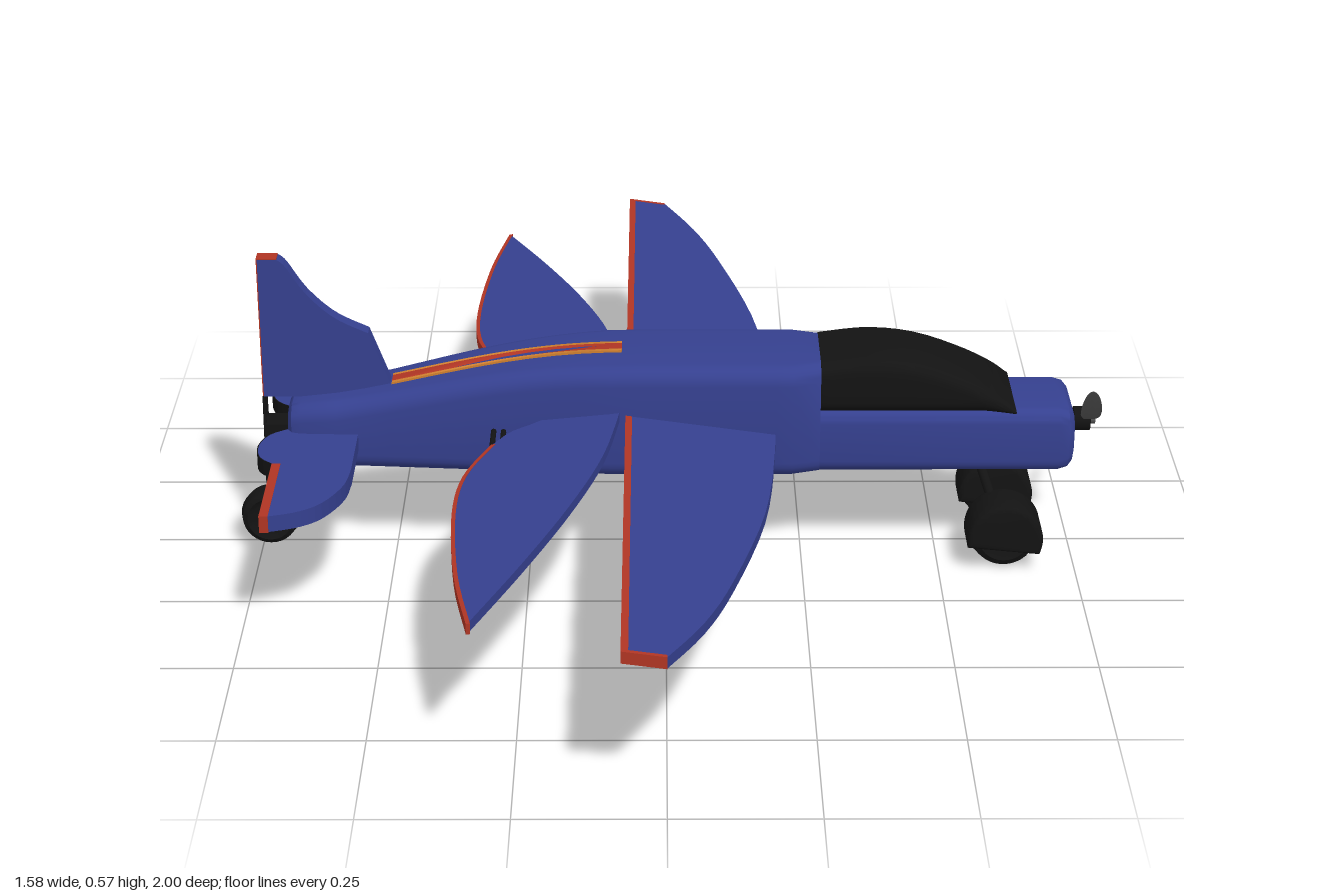
import * as THREE from 'three';
import { toCreasedNormals } from 'three/addons/utils/BufferGeometryUtils.js';

const mat = (color) => new THREE.MeshStandardMaterial({ color });
const blue = mat(0x35408f), red = mat(0xb03524), orange = mat(0xd08030);
const black = mat(0x131313), grey = mat(0x555555);

function add(parent, name, geometry, material) {
  const mesh = new THREE.Mesh(geometry, material);
  mesh.name = name;
  parent.add(mesh);
  return mesh;
}

// Skin over rounded-rectangle sections [x, halfWidth, bottom, top, cornerRadius], x increasing
function loft(sections) {
  const pos = [], index = [], k = 6, n = k * 4;
  for (const [x, w, y0, y1, r] of sections) {
    for (let c = 0; c < 4; c++) {
      const cz = (c === 0 || c === 3 ? 1 : -1) * (w - r);
      const cy = c < 2 ? y1 - r : y0 + r;
      for (let i = 0; i < k; i++) {
        const a = (c + i / (k - 1)) * Math.PI / 2;
        pos.push(x, cy + r * Math.sin(a), cz + r * Math.cos(a));
      }
    }
  }
  const last = (sections.length - 1) * n;
  for (let s = 0; s < last; s += n) {
    for (let i = 0; i < n; i++) {
      const j = (i + 1) % n;
      index.push(s + i, s + n + i, s + j, s + j, s + n + i, s + n + j);
    }
  }
  for (let i = 1; i < n - 1; i++) {
    index.push(0, i, i + 1, last, last + i + 1, last + i);
  }
  const g = new THREE.BufferGeometry();
  g.setAttribute('position', new THREE.Float32BufferAttribute(pos, 3));
  g.setIndex(index);
  return toCreasedNormals(g, 0.6);
}

const curve = (pts, n = 20) =>
  new THREE.SplineCurve(pts.map((p) => new THREE.Vector2(...p))).getPoints(n).map((p) => [p.x, p.y]);

// Horizontal plate from an [x, z] outline; height(x) tilts it, side mirrors it
function plate(outline, thick, height, side) {
  const shape = new THREE.Shape(outline.map(([x, z]) => new THREE.Vector2(x, -z * side)));
  const g = new THREE.ExtrudeGeometry(shape, { depth: thick, bevelEnabled: false });
  g.rotateX(-Math.PI / 2).translate(0, -thick / 2, 0);
  const p = g.attributes.position;
  for (let i = 0; i < p.count; i++) p.setY(i, p.getY(i) + height(p.getX(i)));
  g.computeVertexNormals();
  return g;
}

// Narrow band outline along an edge polyline
const band = (pts, dx, dz = 0) => [...pts, ...pts.map(([x, z]) => [x + dx, z + dz]).reverse()];

// Vertical plate from an [x, y] outline, centred on z = 0
function upright(outline, thick) {
  const shape = new THREE.Shape(outline.map((p) => new THREE.Vector2(...p)));
  return new THREE.ExtrudeGeometry(shape, { depth: thick, bevelEnabled: false }).translate(0, 0, -thick / 2);
}

function rod(parent, name, a, b, r, material = black) {
  const path = new THREE.LineCurve3(new THREE.Vector3(...a), new THREE.Vector3(...b));
  const mesh = add(parent, name, new THREE.CylinderGeometry(r, r, path.getLength(), 10), material);
  mesh.position.copy(path.getPoint(0.5));
  mesh.quaternion.setFromUnitVectors(new THREE.Vector3(0, 1, 0), path.getTangent(0));
  return mesh;
}

// Tyre with a small grey hub
function wheel(parent, name, x, z, r, width) {
  const h = width / 2;
  const profile = [[0, -h * 0.8], [r * 0.6, -h * 0.8], [r * 0.75, -h], [r * 0.92, -h * 0.75], [r, 0],
    [r * 0.92, h * 0.75], [r * 0.75, h], [r * 0.6, h * 0.8], [0, h * 0.8]];
  const g = new THREE.LatheGeometry(profile.map((p) => new THREE.Vector2(...p)), 32);
  add(parent, name, toCreasedNormals(g.rotateX(Math.PI / 2), 0.7), black).position.set(x, r, z);
  add(parent, name + 'Hub', new THREE.CylinderGeometry(r * 0.2, r * 0.2, width * 1.05, 16).rotateX(Math.PI / 2), grey)
    .position.set(x, r, z);
}

export function createModel() {
  const model = new THREE.Group();
  model.name = 'airplane';

  // Fuselage: rear hull with humped back, then the narrower nose
  const spine = (x) => 0.3 + 0.09 * THREE.MathUtils.smootherstep(x, -0.68, -0.02) ** 0.6;
  const hull = [[-0.69, 0.05, 0.195, 0.28, 0.03], [-0.682, 0.064, 0.182, 0.293, 0.03], [-0.665, 0.07, 0.175, 0.3, 0.03]];
  for (let i = 0; i <= 16; i++) {
    const x = -0.6 + i * 0.05;
    hull.push([x, 0.073 + 0.037 * THREE.MathUtils.clamp((x + 0.55) / 0.45, 0, 1), 0.175, Math.max(0.3, spine(x)), 0.032]);
  }
  hull.push([0.23, 0.11, 0.175, 0.39, 0.032], [0.28, 0.092, 0.175, 0.39, 0.03]);
  add(model, 'fuselage', loft(hull), blue);
  add(model, 'nose', loft([[0.24, 0.09, 0.177, 0.3, 0.025], [0.715, 0.09, 0.177, 0.3, 0.025],
    [0.733, 0.086, 0.181, 0.296, 0.025], [0.742, 0.078, 0.19, 0.287, 0.025], [0.745, 0.068, 0.2, 0.277, 0.025]]), blue);

  // Canopy
  const top = curve([[0.28, 0.39], [0.37, 0.4], [0.46, 0.39], [0.55, 0.358], [0.6, 0.33], [0.635, 0.3]], 18);
  add(model, 'canopy', loft(top.map(([x, y]) => [x, 0.091, 0.296, Math.max(y, 0.301), Math.min(0.024, Math.max(0.002, (y - 0.296) / 2.1))])), black);

  // Stripe along the back
  const stripeX = Array.from({ length: 15 }, (_, i) => -0.5 + i * 0.03);
  const stripe = (z0, z1) => band(stripeX.map((x) => [x, z0]), 0, z1 - z0);
  const back = (x) => Math.max(0.3, spine(x));
  add(model, 'backStripe', plate(stripe(-0.013, 0.013), 0.008, back, 1), red);
  for (const s of [1, -1]) add(model, 'backStripeEdge', plate(stripe(0.013, 0.021), 0.008, back, s), orange);

  // Wings and tailplane, one side at a time
  const wingY = (x) => 0.294 - 0.14 * (x + 0.08);
  const rearY = (x) => 0.3 + 0.133 * (x + 0.08);
  const tailY = () => 0.235;
  const wing = [[-0.07, 0], ...curve([[0.2, 0], [0.195, 0.18], [0.17, 0.44], [0.11, 0.71], [0.06, 0.87], [0, 1]]), [-0.07, 1]];
  const rearTrail = curve([[-0.32, 0.86], [-0.35, 0.68], [-0.366, 0.45], [-0.355, 0.3], [-0.31, 0.18]]);
  const rearLead = curve([[-0.08, 0.08], [-0.11, 0.28], [-0.165, 0.47], [-0.24, 0.67], [-0.32, 0.86]]);
  const rearRoot = curve([[-0.31, 0.18], [-0.28, 0.135], [-0.24, 0.11], [-0.2, 0.08]], 8);
  const tailBulge = curve([[-0.7, 0.2], [-0.728, 0.17], [-0.735, 0.12], [-0.72, 0.075], [-0.69, 0.05]], 12);
  const tailLead = curve([[-0.56, 0.22], [-0.568, 0.29], [-0.6, 0.36], [-0.64, 0.395], [-0.69, 0.413]], 14);
  for (const s of [1, -1]) {
    const side = new THREE.Group();
    side.name = s > 0 ? 'leftSurfaces' : 'rightSurfaces';
    model.add(side);
    add(side, 'mainWing', plate(wing, 0.02, wingY, s), blue);
    add(side, 'mainWingTrailingEdge', plate(band([[-0.073, 0], [-0.073, 1]], 0.012), 0.0212, wingY, s), red);
    add(side, 'mainWingTip', plate(band([[-0.073, 1.001], [0, 1.001]], 0, -0.008), 0.0212, wingY, s), red);
    add(side, 'rearWing', plate([...rearLead, ...rearTrail.slice(1), ...rearRoot.slice(1)], 0.018, rearY, s), blue);
    add(side, 'rearWingTrailingEdge', plate(band(rearTrail.map(([x, z]) => [x - 0.002, z]), 0.007), 0.0192, rearY, s), red);
    for (const x of [-0.312, -0.294]) rod(side, 'rearWingStrut', [x, 0.265, 0.06 * s], [x, 0.265, 0.2 * s], 0.005);
    add(side, 'tailplane', plate([[-0.56, 0], ...tailLead, [-0.7, 0.413], ...tailBulge, [-0.69, 0]], 0.03, tailY, s), blue);
    add(side, 'tailplaneTrailingEdge', plate(band([[-0.704, 0.2], [-0.704, 0.414]], 0.016), 0.0312, tailY, s), red);
    add(side, 'tailplaneRootEdge', plate(band(tailBulge.map(([x, z]) => [x - 0.002, z]), 0.005), 0.029, tailY, s), black);
  }

  // Fin
  const finFront = curve([[-0.7, 0.568], [-0.685, 0.555], [-0.65, 0.502], [-0.6, 0.455], [-0.54, 0.425]], 14);
  add(model, 'fin', upright([[-0.735, 0.3], [-0.5, 0.3], [-0.5, 0.318], ...finFront.reverse(), [-0.735, 0.568]], 0.03), blue);
  add(model, 'finTrailingEdge', upright([[-0.737, 0.3], [-0.733, 0.3], [-0.733, 0.568], [-0.737, 0.568]], 0.029), red);
  add(model, 'finTop', upright([[-0.737, 0.565], [-0.7, 0.565], [-0.7, 0.57], [-0.737, 0.57]], 0.029), red);

  // Tail wheel on two wires
  wheel(model, 'tailWheel', -0.735, 0, 0.055, 0.055);
  add(model, 'tailWheelMount', new THREE.BoxGeometry(0.05, 0.026, 0.05), black).position.set(-0.71, 0.235, 0);
  for (const s of [1, -1]) rod(model, 'tailWheelWire', [-0.735, 0.3, 0.014 * s], [-0.735, 0.055, 0.031 * s], 0.003);
  rod(model, 'tailWheelAxle', [-0.735, 0.055, -0.032], [-0.735, 0.055, 0.032], 0.004);

  // Main landing gear with covers
  for (const s of [1, -1]) {
    const z = 0.097 * s;
    wheel(model, 'mainWheel', 0.62, z, 0.063, 0.048);
    const arc = new THREE.Shape();
    arc.absarc(0.62, 0.063, 0.06, -0.3, Math.PI + 0.1, false);
    const cover = new THREE.ExtrudeGeometry(arc, { depth: 0.072, bevelSize: 0.009, bevelThickness: 0.009, bevelSegments: 3, curveSegments: 24 });
    add(model, 'wheelCover', toCreasedNormals(cover.translate(0, 0, z - 0.036), 0.7), black);
    rod(model, 'mainStrut', [0.573, 0.185, 0.005 * s], [0.61, 0.085, 0.09 * s], 0.009);
  }

  // Propeller: hub and two twisted blades
  const propeller = new THREE.Group();
  propeller.name = 'propeller';
  propeller.position.set(0.765, 0.248, 0);
  propeller.rotation.x = 1.02;
  model.add(propeller);
  add(propeller, 'hub', new THREE.CylinderGeometry(0.022, 0.022, 0.03, 24).rotateZ(Math.PI / 2), black);
  add(propeller, 'shaft', new THREE.CylinderGeometry(0.01, 0.01, 0.05, 16).rotateZ(Math.PI / 2), grey);
  for (const s of [0, 1]) {
    const g = new THREE.SphereGeometry(1, 20, 20);
    const p = g.attributes.position;
    for (let i = 0; i < p.count; i++) {
      const t = (p.getY(i) + 1) / 2;
      const w = 0.01 + 0.021 * t, twist = 0.65 - 0.35 * t;
      const a = p.getX(i) * 0.004, b = p.getZ(i) * w;
      p.setXYZ(i, a * Math.cos(twist) + b * Math.sin(twist), 0.005 + 0.26 * t, b * Math.cos(twist) - a * Math.sin(twist));
    }
    g.computeVertexNormals();
    add(propeller, 'blade', g, grey).rotation.x = s * Math.PI;
  }
  return model;
}
